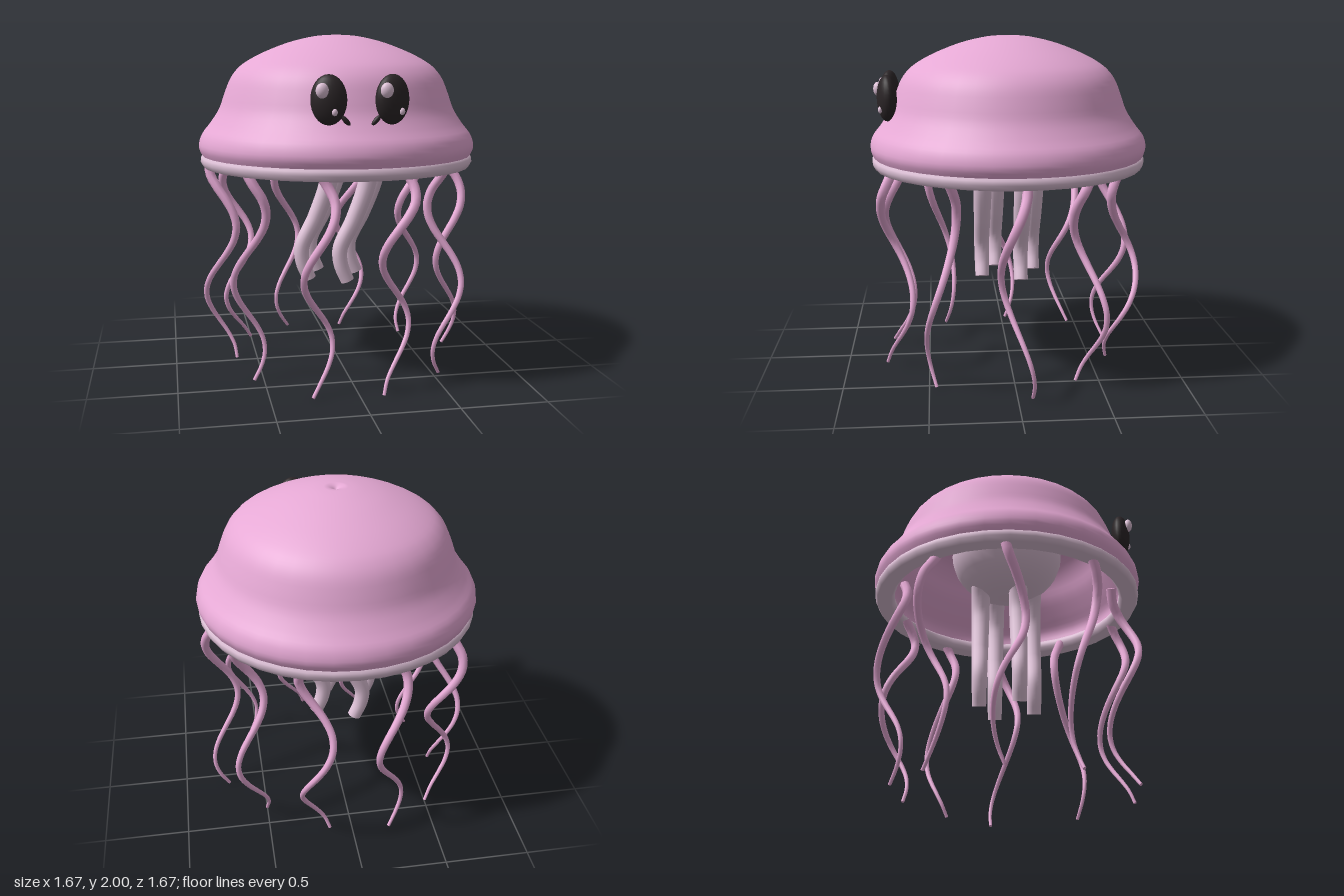
import * as THREE from 'three';

const material = (name, color) => {
  const m = new THREE.MeshStandardMaterial({ color });
  m.name = name;
  return m;
};

// Tube along a curve whose radius runs from r0 to r1, with both ends capped
function taperedTube(name, points, r0, r1, mat, sides = 10, steps = 40) {
  const group = new THREE.Group();
  group.name = name;
  const curve = new THREE.CatmullRomCurve3(points);
  const geo = new THREE.TubeGeometry(curve, steps, 1, sides);
  const pos = geo.attributes.position;
  const v = new THREE.Vector3();
  for (let i = 0; i <= steps; i++) {
    const c = curve.getPointAt(i / steps);
    const r = THREE.MathUtils.lerp(r0, r1, i / steps);
    for (let j = 0; j <= sides; j++) {
      const k = i * (sides + 1) + j;
      v.fromBufferAttribute(pos, k).sub(c).multiplyScalar(r).add(c);
      pos.setXYZ(k, v.x, v.y, v.z);
    }
  }
  const tube = new THREE.Mesh(geo, mat);
  tube.name = name + 'Tube';
  group.add(tube);
  for (const [u, r, dir] of [[0, r0, -1], [1, r1, 1]]) {
    const cap = new THREE.Mesh(new THREE.CircleGeometry(r, sides), mat);
    cap.name = name + 'Cap';
    const p = curve.getPointAt(u);
    cap.position.copy(p);
    cap.lookAt(p.clone().addScaledVector(curve.getTangentAt(u), dir));
    group.add(cap);
  }
  return group;
}

function ellipsoid(name, mat, [x, y, z], [rx, ry, rz]) {
  const mesh = new THREE.Mesh(new THREE.SphereGeometry(1, 24, 16), mat);
  mesh.name = name;
  mesh.position.set(x, y, z);
  mesh.scale.set(rx, ry, rz);
  return mesh;
}

const toPoints = (pairs) => pairs.map(([r, y]) => new THREE.Vector2(r, y));

function lathe(name, points, mat) {
  const mesh = new THREE.Mesh(new THREE.LatheGeometry(points, 36), mat);
  mesh.name = name;
  return mesh;
}

export function createModel() {
  const model = new THREE.Group();
  model.name = 'jellyfish';
  const pink = material('pink', 0xe6a9d5);
  pink.side = THREE.DoubleSide;
  const pale = material('palePink', 0xe0c3d9);
  const black = material('black', 0x2b2527);

  // Bell: dome with a small dimple on top, and its inner wall
  const dome = new THREE.SplineCurve(toPoints([
    [0.812, 1.285], [0.833, 1.34], [0.815, 1.41], [0.765, 1.475], [0.71, 1.56], [0.677, 1.65],
    [0.643, 1.735], [0.6, 1.795], [0.54, 1.843], [0.43, 1.9], [0.28, 1.957], [0.14, 1.99], [0.05, 1.999],
  ])).getPoints(39);
  dome.push(...toPoints([[0.02, 1.988], [0, 1.968]]));
  model.add(lathe('bell', dome, pink));
  const inner = new THREE.SplineCurve(toPoints([
    [0.735, 1.28], [0.74, 1.36], [0.69, 1.45], [0.63, 1.56], [0.585, 1.68], [0.5, 1.78], [0.27, 1.88], [0, 1.91],
  ])).getPoints(24);
  model.add(lathe('bellInside', inner, pink));

  // Pale rim around the bell opening
  model.add(lathe('rim', toPoints([
    [0.73, 1.3], [0.705, 1.275], [0.705, 1.245], [0.725, 1.22], [0.808, 1.22],
    [0.824, 1.25], [0.822, 1.275], [0.805, 1.3], [0.73, 1.3],
  ]), pale));

  // Core inside the bell
  model.add(ellipsoid('core', pale, [0, 1.58, 0], [0.35, 0.3, 0.35]));

  // Four thick arms, all sharing one S-bend
  const bend = [[1.42, 0.06], [1.3, 0.12], [1.2, 0.14], [1.1, 0.125], [0.9, 0.05], [0.72, -0.035], [0.62, -0.03], [0.52, 0.01]];
  for (const [x, z] of [[0.03, 0.165], [-0.19, 0.07], [0.13, -0.07], [-0.1, -0.165]]) {
    const points = bend.map(([y, dx]) => new THREE.Vector3(x + dx, y, z));
    model.add(taperedTube('oralArm', points, 0.062, 0.042, pale, 14));
  }

  // Ten thin tentacles: height of a crest and wavelength in x, then in z
  const waves = [
    [1.02, 0.82, 0.72, 1.3], [0.57, 0.84, 0.28, 1.5], [1.16, 0.78, 1.0, 1.08],
    [1.07, 0.8, 0.85, 1.0], [1.0, 0.82, 1.13, 1.62], [0.86, 0.85, 0.85, 1.2],
    [0.69, 0.75, 0.36, 1.15], [0.63, 0.84, 1.2, 1.0], [1.14, 0.78, 1.08, 0.98], [1.24, 0.78, 1.0, 1.15],
  ];
  const wave = (y, crest, length) =>
    0.09 * Math.min(1, 0.65 + (1.25 - y) * 3) * Math.cos((y - crest) / length * Math.PI * 2);
  waves.forEach(([cx, lx, cz, lz], i) => {
    const a = i * Math.PI / 5;
    const points = [];
    for (let k = 0; k <= 16; k++) {
      const y = 1.25 - k * 1.245 / 16;
      points.push(new THREE.Vector3(
        0.715 * Math.cos(a) + wave(y, cx, lx), y, 0.715 * Math.sin(a) + wave(y, cz, lz)));
    }
    model.add(taperedTube('tentacle', points, 0.03, 0.01, pink, 8, 48));
  });

  // Eyes with two glints and a lash at the lower inner corner
  for (const side of [-1, 1]) {
    const eye = new THREE.Group();
    eye.name = side > 0 ? 'leftEye' : 'rightEye';
    eye.position.set(side * 0.173, 1.649, 0.718);
    const ball = ellipsoid('eyeball', black, [0, 0, 0], [0.098, 0.135, 0.056]);
    ball.rotation.y = side * 0.24;
    eye.add(ball);
    const near = side > 0 ? 0.01 : 0;
    eye.add(ellipsoid('largeGlint', pale, [-0.042, 0.05, 0.043 + near], [0.035, 0.041, 0.026]));
    eye.add(ellipsoid('smallGlint', pale, [side > 0 ? 0.045 : 0.023, -0.063, side > 0 ? 0.037 : 0.05], [0.016, 0.02, 0.013]));
    const lash = ellipsoid('lash', black, [-side * 0.09, -0.11, 0.01], [0.014, 0.036, 0.014]);
    lash.rotation.z = -side * 0.73;
    eye.add(lash);
    model.add(eye);
  }
  return model;
}
